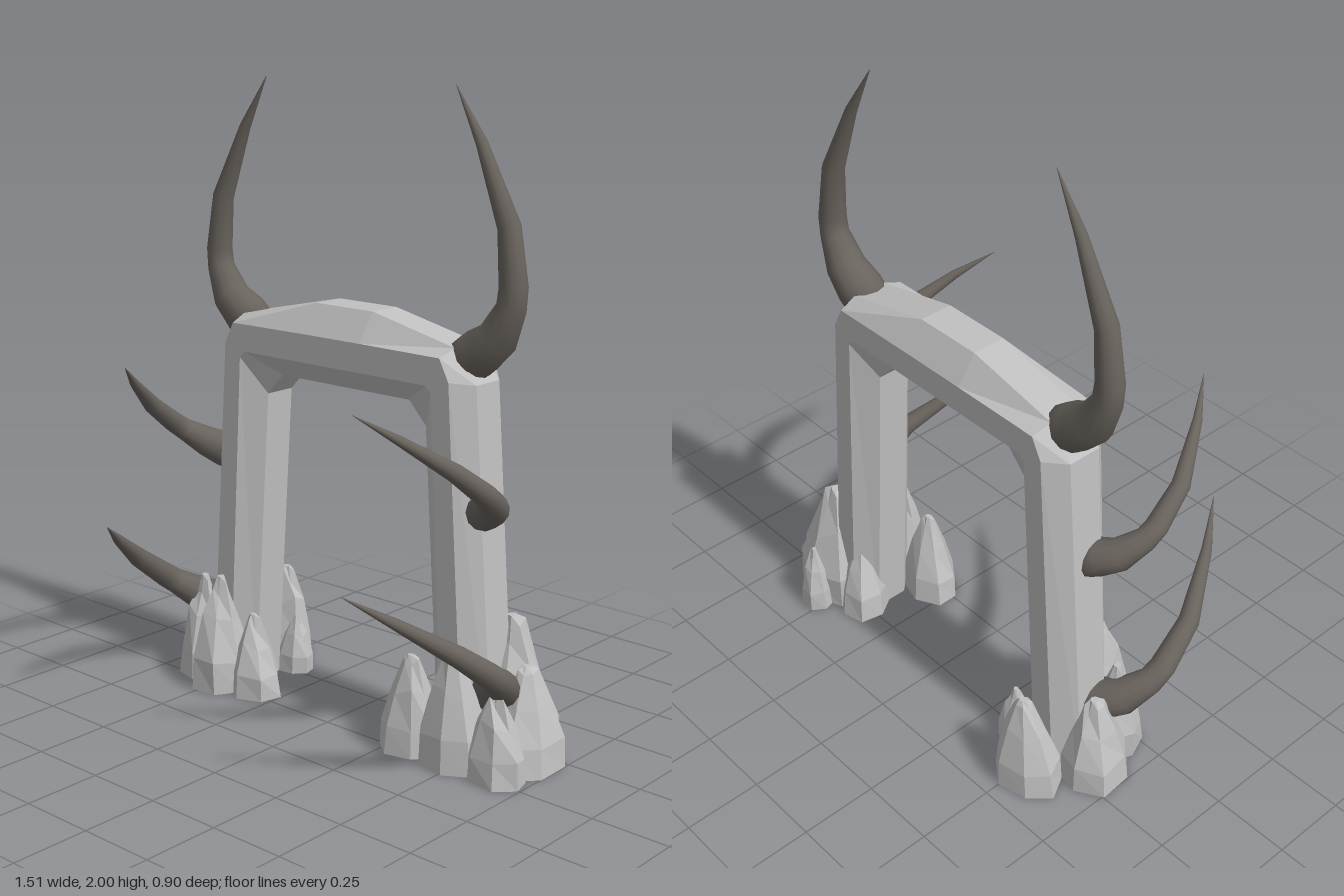
import * as THREE from 'three';

const MID_X = -0.025; // the gate's own centre line
const GATE_Z = -0.16;

// Joins equal rings of points (counterclockwise around the path) and caps both ends.
function loft(rings, smooth) {
  const n = rings[0].length, pos = [], index = [];
  rings.forEach(r => r.forEach(p => pos.push(p.x, p.y, p.z)));
  for (let i = 0; i < rings.length - 1; i++) {
    for (let j = 0; j < n; j++) {
      const a = i * n + j, b = i * n + (j + 1) % n;
      index.push(a, b, a + n, b, b + n, a + n);
    }
  }
  const last = (rings.length - 1) * n;
  [0, last].forEach(start => {
    const c = new THREE.Vector3();
    rings[start / n].forEach(p => c.addScaledVector(p, 1 / n));
    const k = pos.length / 3;
    pos.push(c.x, c.y, c.z);
    for (let j = 0; j < n; j++) {
      const a = start + j, b = start + (j + 1) % n;
      if (start) index.push(k, a, b); else index.push(k, b, a);
    }
  });
  let g = new THREE.BufferGeometry();
  g.setAttribute('position', new THREE.Float32BufferAttribute(pos, 3));
  g.setIndex(index);
  if (!smooth) g = g.toNonIndexed();
  g.computeVertexNormals();
  return g;
}

// Eight-sided frame: each station gives outer, front-outer, front-inner and inner [x, y].
function gateGeometry() {
  const half = [
    [[0.595, 0], [0.53, 0], [0.45, 0], [0.39, 0]],
    [[0.51, 1.15], [0.455, 1.16], [0.39, 1.12], [0.325, 1.0]],
    [[0.43, 1.25], [0.42, 1.228], [0.37, 1.14], [0.26, 1.07]],
    [[0.115, 1.32], [0.115, 1.23], [0.115, 1.14], [0.115, 1.07]],
  ];
  const ring = (s, side) => {
    const [O, F, E, I] = s;
    const edge = 0.055, face = 0.117;
    return [[I, edge], [I, -edge], [E, -face], [F, -face], [O, -edge], [O, edge], [F, face], [E, face]]
      .map(([p, z]) => new THREE.Vector3(MID_X + side * p[0], p[1], GATE_Z + z));
  };
  return loft([
    ...half.map(s => ring(s, -1)),
    ...half.slice().reverse().map(s => ring(s, 1)),
  ], false);
}

// Curved horn in a plane: [outward, along, radius], tilted forward by an angle.
const HORN = [
  [-0.01, -0.01, 0.07], [0.05, 0.035, 0.073], [0.115, 0.085, 0.062], [0.162, 0.18, 0.045],
  [0.168, 0.24, 0.043], [0.148, 0.41, 0.035], [0.045, 0.64, 0.018], [-0.05, 0.8, 0.001],
];
function hornGeometry(base, side, tilt, scale) {
  const along = new THREE.Vector3(0, Math.cos(tilt), Math.sin(tilt));
  const w = new THREE.Vector3(0, -Math.sin(tilt), Math.cos(tilt));
  const pts = HORN.map(([o, a]) => new THREE.Vector3(MID_X + side * (base[0] + o * scale), base[1], base[2])
    .addScaledVector(along, a * scale));
  const rings = pts.map((p, i) => {
    const t = pts[Math.min(i + 1, pts.length - 1)].clone().sub(pts[Math.max(i - 1, 0)]).normalize();
    const b = t.clone().cross(w);
    const r = HORN[i][2] * scale;
    return Array.from({ length: 12 }, (_, j) => {
      const q = j / 12 * Math.PI * 2;
      return p.clone().addScaledVector(w, r * Math.cos(q)).addScaledVector(b, r * Math.sin(q));
    });
  });
  return loft(rings, true);
}

// Jagged upright boulder with a narrow blunt peak.
function rockGeometry(x, z, rx, rz, h, rand) {
  const sides = 7, spin = rand() * 6;
  const jitter = Array.from({ length: sides }, () => 0.85 + 0.2 * rand());
  const levels = [[0, 1], [0.3, 0.94], [0.66, 0.6], [0.93, 0.26], [1, 0.12]];
  const lx = (rand() - 0.5) * 0.3 * rx, lz = (rand() - 0.5) * 0.3 * rz;
  return loft(levels.map(([f, s], i) => Array.from({ length: sides }, (_, j) => {
    const a = spin + j / sides * Math.PI * 2;
    const k = s * jitter[j] * (i ? 0.92 + 0.16 * rand() : 1);
    const y = f * h * (i && i < 4 ? 0.86 + 0.2 * rand() : 1);
    return new THREE.Vector3(x + lx * f + Math.cos(a) * rx * k, y, z + lz * f - Math.sin(a) * rz * k);
  })), false);
}

export function createModel() {
  const stone = new THREE.MeshStandardMaterial({ color: 0xc0c0c0 });
  stone.name = 'pale stone';
  const hornMat = new THREE.MeshStandardMaterial({ color: 0x69635d });
  hornMat.name = 'dark horn';

  const model = new THREE.Group();
  model.name = 'hornedGate';
  const add = (name, geometry, material) => {
    const mesh = new THREE.Mesh(geometry, material);
    mesh.name = name;
    model.add(mesh);
  };

  add('gateFrame', gateGeometry(), stone);

  // Three horns on each side: one upright, two sweeping forward.
  for (const side of [-1, 1]) {
    const label = side > 0 ? 'left' : 'right';
    add(label + 'TopHorn', hornGeometry([0.425, 1.2, GATE_Z], side, 0, 1), hornMat);
    add(label + 'MiddleHorn', hornGeometry([0.5, 0.76, -0.14], side, 0.94, 0.81), hornMat);
    add(label + 'LowerHorn', hornGeometry([0.53, 0.21, -0.15], side, 0.945, 0.93), hornMat);
  }

  // Boulders round each foot: x, z, x radius, z radius, height.
  const rocks = {
    rightFootRock: [
      [-0.65, -0.19, 0.115, 0.13, 0.31], [-0.53, -0.36, 0.12, 0.09, 0.32],
      [-0.47, -0.01, 0.11, 0.115, 0.38], [-0.35, -0.03, 0.1, 0.085, 0.27],
      [-0.6, -0.06, 0.1, 0.1, 0.34], [-0.39, -0.27, 0.07, 0.06, 0.2],
    ],
    leftFootRock: [
      [0.56, -0.22, 0.15, 0.14, 0.43], [0.65, -0.16, 0.11, 0.14, 0.31],
      [0.49, -0.02, 0.12, 0.1, 0.38], [0.32, -0.02, 0.11, 0.085, 0.31],
      [0.41, -0.25, 0.09, 0.09, 0.28], [0.65, -0.02, 0.11, 0.08, 0.28],
      [0.53, -0.35, 0.06, 0.06, 0.24],
    ],
  };
  let seed = 11;
  const rand = () => (seed = (seed * 16807) % 2147483647) / 2147483647;
  for (const [name, list] of Object.entries(rocks)) {
    list.forEach((r, i) => add(name + (i + 1), rockGeometry(...r, rand), stone));
  }
  return model;
}
